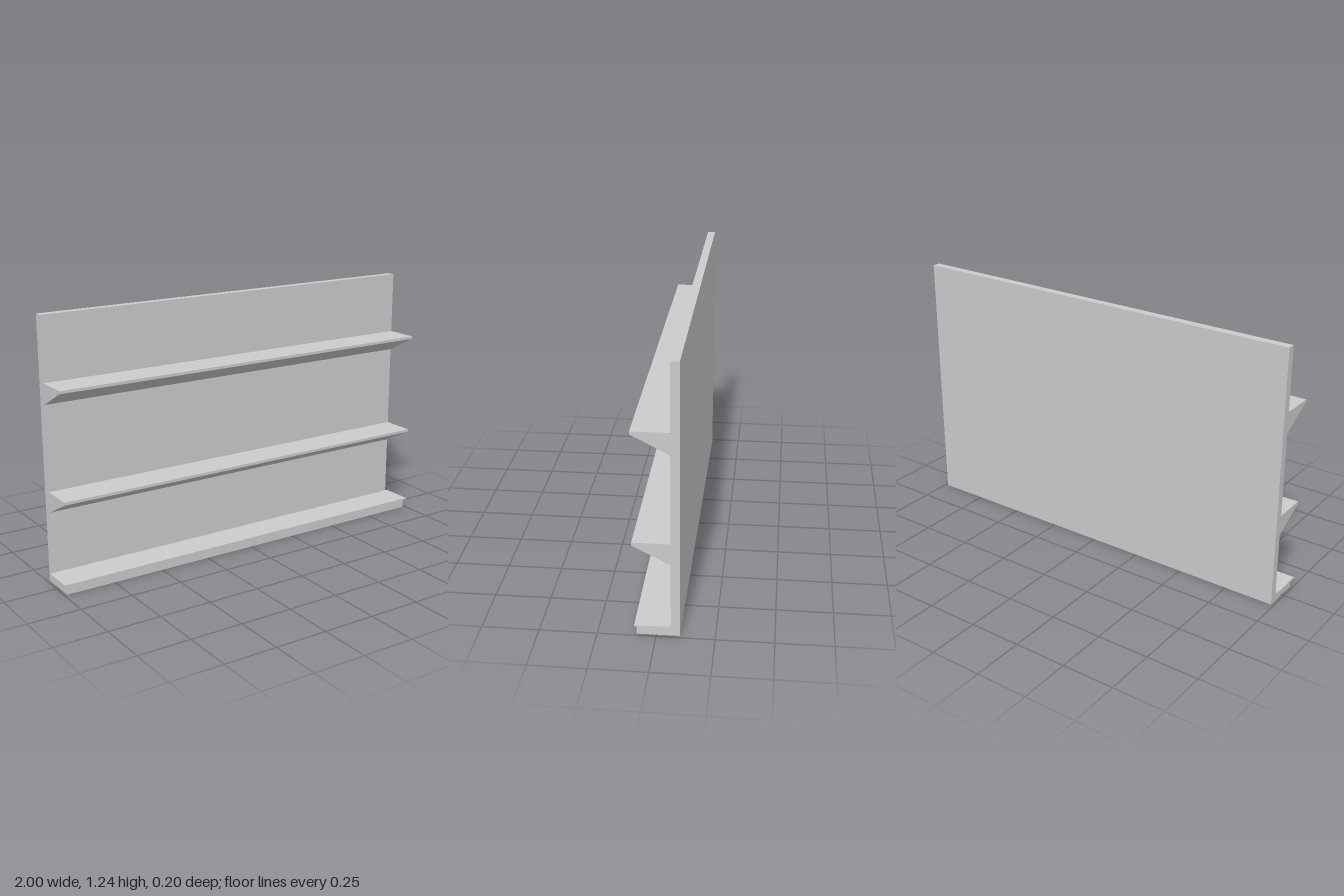
import * as THREE from 'three';

const WIDTH = 1.974;
const BACK = -0.1, FACE = -0.062; // rear and front of the back panel

export function createModel() {
  const group = new THREE.Group();
  const material = new THREE.MeshStandardMaterial({ color: 0xcccccc, flatShading: true });

  function add(name, geometry) {
    const mesh = new THREE.Mesh(geometry, material);
    mesh.name = name;
    group.add(mesh);
  }

  // Extrude a (z, y) side profile along x, centred on x = 0
  function addProfile(name, points, width) {
    const shape = new THREE.Shape(points.map(([z, y]) => new THREE.Vector2(-z, y)));
    const geometry = new THREE.ExtrudeGeometry(shape, { depth: width, bevelEnabled: false });
    geometry.translate(0, 0, -width / 2);
    geometry.rotateY(Math.PI / 2); // shape x -> -z, depth -> +x
    add(name, geometry);
  }

  // Upright back panel with the foot in one L-shaped section
  addProfile('backPanelAndFoot', [
    [BACK, 0], [0.083, 0], [0.083, 0.043], [FACE, 0.043], [FACE, 1.237], [BACK, 1.237],
  ], WIDTH);

  // Two wedge-shaped ledges with a thin front lip
  [['lowerLedge', 0.44], ['upperLedge', 0.938]].forEach(([name, top]) => {
    addProfile(name, [
      [FACE, top - 0.097], [0.1, top - 0.013], [0.1, top], [FACE, top],
    ], WIDTH);
  });

  // Thin tread on the foot, slightly wider than the panel
  const tread = new THREE.BoxGeometry(2, 0.008, 0.092 - FACE);
  tread.translate(0, 0.047, (0.092 + FACE) / 2);
  add('footTread', tread);

  return group;
}
